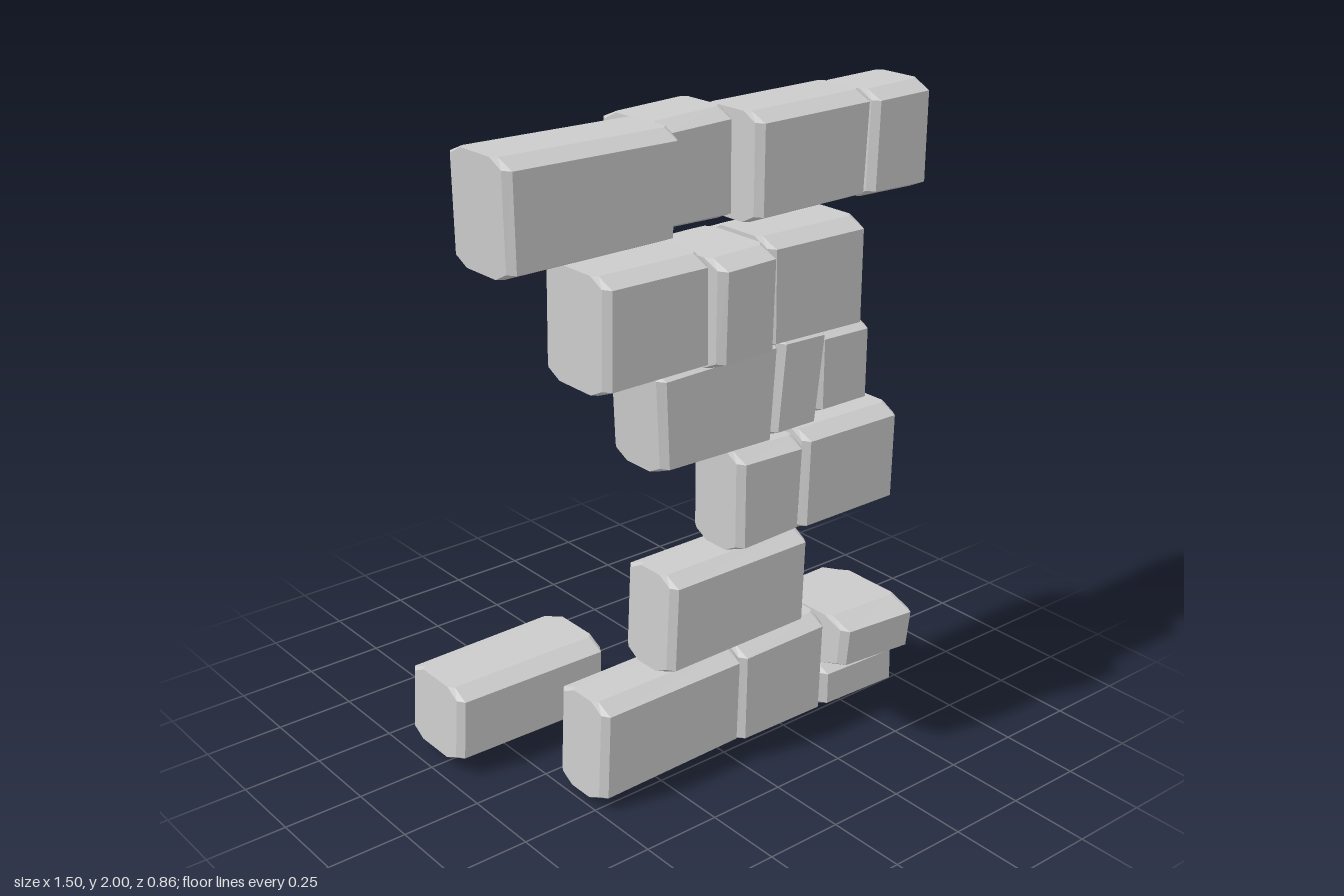
import * as THREE from 'three';

const lerp = THREE.MathUtils.lerp;

// A roughly cut block: an eight-sided section swept along x, narrowed at both ends.
// quad: front outline [bottom left, bottom right, top right, top left] as [x, y]
// z: [back, front] at the left end, then [back, front] at the right end
// flare: how far the top leans out in z
function makeBlock(name, material, [bl, br, tr, tl], z, { flare = 0, cz = 0.06, cy = 0.025 } = {}) {
  const width = br[0] - bl[0], height = tl[1] - bl[1], depth = z[1] - z[0];
  const a = cy / height, b = cz / depth, e = 0.016 / width, n = 0.025 / depth;
  // section corners as [height, depth] fractions, starting at the top back
  const section = [[1, b], [1, 1 - b], [1 - a, 1], [a, 1], [0, 1 - b], [0, b], [a, 0], [1 - a, 0]];
  const place = (u, v, w) => {
    const back = lerp(z[0], z[2], u) - flare * v;
    const front = lerp(z[1], z[3], u) + flare * v;
    return [
      lerp(lerp(bl[0], br[0], u), lerp(tl[0], tr[0], u), v),
      lerp(lerp(bl[1], br[1], u), lerp(tl[1], tr[1], u), v),
      lerp(back, front, w),
    ];
  };
  const loops = [[0, n], [e, 0], [1 - e, 0], [1, n]].map(([u, inset]) =>
    section.map(([v, w]) => place(u, v, lerp(inset, 1 - inset, w))));

  const positions = [];
  const tri = (...points) => points.forEach((p) => positions.push(...p));
  for (let k = 0; k < 3; k++) {
    for (let i = 0; i < 8; i++) {
      const j = (i + 1) % 8, p = loops[k], q = loops[k + 1];
      tri(p[i], p[j], q[i]);
      tri(p[j], q[j], q[i]);
    }
  }
  for (let i = 1; i < 7; i++) {
    tri(loops[3][0], loops[3][i], loops[3][i + 1]);
    tri(loops[0][0], loops[0][i + 1], loops[0][i]);
  }
  const geometry = new THREE.BufferGeometry();
  geometry.setAttribute('position', new THREE.Float32BufferAttribute(positions, 3));
  geometry.computeVertexNormals();
  const mesh = new THREE.Mesh(geometry, material);
  mesh.name = name;
  return mesh;
}

export function createModel() {
  const model = new THREE.Group();
  model.name = 'brokenBrickWall';
  const stone = new THREE.MeshStandardMaterial({ color: 0xcccccc, flatShading: true });
  const wall = [0.05, 0.28, 0.05, 0.28];
  const top = [0, 0.28, 0, 0.28];

  const courses = {
    firstCourse: [
      [[[-0.49, 0.02], [0.04, 0.03], [0.05, 0.34], [-0.475, 0.34]], wall],
      [[[0.045, 0.015], [0.385, 0.01], [0.395, 0.35], [0.05, 0.345]], wall],
      [[[0.395, 0.01], [0.71, 0], [0.705, 0.155], [0.395, 0.165]], wall],
      [[[0.405, 0.175], [0.69, 0.165], [0.70, 0.335], [0.41, 0.345]],
        [-0.01, 0.345, -0.03, 0.36], { flare: 0.012, cz: 0.08 }],
    ],
    secondCourse: [
      [[[-0.235, 0.355], [0.30, 0.36], [0.31, 0.67], [-0.22, 0.67]], wall],
    ],
    thirdCourse: [
      [[[0.03, 0.675], [0.27, 0.685], [0.285, 0.985], [0.03, 0.995]], wall],
      [[[0.28, 0.675], [0.67, 0.675], [0.675, 0.995], [0.29, 1.0]], wall],
    ],
    fourthCourse: [
      [[[-0.255, 1.01], [0.15, 1.0], [0.175, 1.335], [-0.27, 1.325]], [0.03, 0.28, 0.03, 0.28]],
      [[[0.16, 1.01], [0.335, 1.01], [0.375, 1.325], [0.19, 1.33]], [0.03, 0.27, 0.03, 0.27]],
      [[[0.39, 1.01], [0.60, 1.01], [0.60, 1.28], [0.39, 1.285]], [-0.01, 0.22, -0.01, 0.22]],
    ],
    fifthCourse: [
      [[[-0.53, 1.34], [-0.175, 1.345], [-0.18, 1.67], [-0.525, 1.67]], [0.09, 0.38, 0.09, 0.385]],
      [[[-0.165, 1.34], [0.035, 1.345], [0.025, 1.665], [-0.175, 1.66]],
        [0.08, 0.41, 0.08, 0.41], { flare: 0.02 }],
      [[[0.045, 1.345], [0.40, 1.34], [0.40, 1.67], [0.04, 1.67]], [0.09, 0.38, 0.09, 0.385]],
    ],
    topCourse: [
      [[[-0.75, 1.68], [-0.215, 1.685], [-0.195, 1.995], [-0.755, 2.0]], top],
      [[[-0.20, 1.685], [0.07, 1.68], [0.065, 2.0], [-0.19, 1.99]], [-0.09, 0.19, -0.09, 0.19]],
      [[[0.08, 1.68], [0.495, 1.685], [0.51, 2.0], [0.08, 1.995]], top],
      [[[0.515, 1.68], [0.75, 1.675], [0.75, 2.0], [0.525, 1.995]], top],
    ],
    // block lying on the ground behind the wall
    fallenBlock: [
      [[[-0.715, 0.04], [-0.175, 0.04], [-0.17, 0.28], [-0.70, 0.28]], [-0.425, -0.14, -0.435, -0.13]],
    ],
  };

  for (const [name, blocks] of Object.entries(courses)) {
    const course = new THREE.Group();
    course.name = name;
    blocks.forEach(([quad, z, options], i) =>
      course.add(makeBlock(`${name}Brick${i + 1}`, stone, quad, z, options)));
    model.add(course);
  }
  return model;
}
